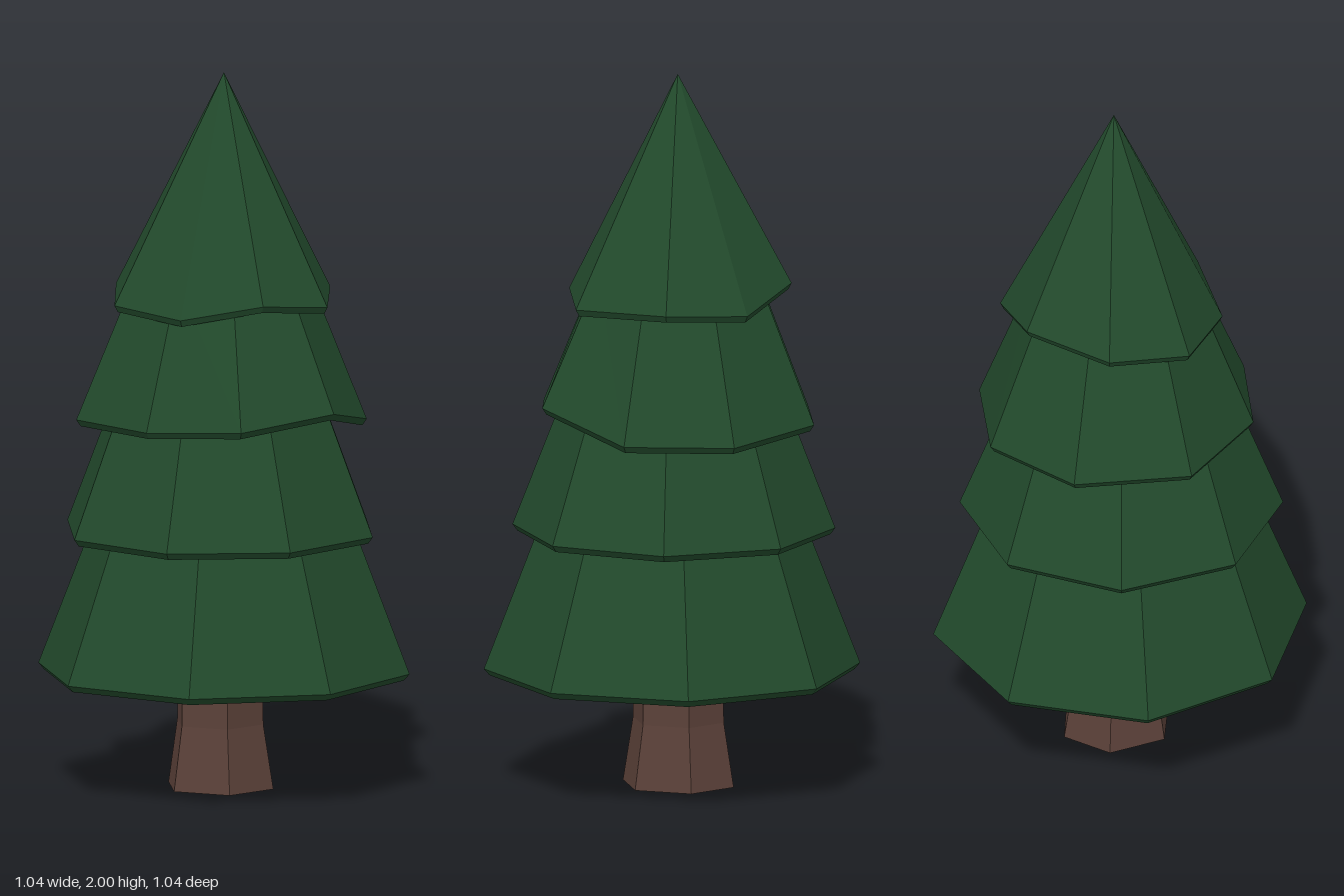
import * as THREE from 'three';

// Skin a stack of rings, listed from the top down
function loft(rings) {
  const pos = [];
  for (let r = 0; r < rings.length - 1; r++) {
    const a = rings[r], b = rings[r + 1], n = a.length;
    for (let i = 0; i < n; i++) {
      const j = (i + 1) % n;
      for (const p of [a[i], a[j], b[i], a[j], b[j], b[i]]) pos.push(...p);
    }
  }
  const g = new THREE.BufferGeometry();
  g.setAttribute('position', new THREE.Float32BufferAttribute(pos, 3));
  g.computeVertexNormals();
  return g;
}

// Scale a ring about (cx, cz); y is a fixed height or a function of the old one
const scaled = (ring, s, y, cx = 0, cz = 0) => ring.map(([x, h, z]) =>
  [cx + (x - cx) * s, typeof y === 'function' ? y(h) : y, cz + (z - cz) * s]);

// Regular eight-sided rim
const octagon = (radius, y, turn, cx = 0, cz = 0) => Array.from({ length: 8 }, (_, i) => {
  const a = turn + i * Math.PI / 4;
  return [cx + radius * Math.cos(a), y, cz + radius * Math.sin(a)];
});

// Hollow branch tier: sloping skirt, thin bevelled lip, recessed underside
function tierGeometry({ rim, topY, topScale, cx = 0, cz = 0, depth }) {
  const top = scaled(rim, topScale, topY, cx, cz);
  const ceilingY = rim[0][1] + depth;
  return loft([
    scaled(rim, 0, topY, cx, cz),
    top,
    rim,
    scaled(rim, 0.97, h => h - 0.018, cx, cz),
    scaled(rim, 0.62, ceilingY, cx, cz),
    scaled(rim, 0, ceilingY, cx, cz),
  ]);
}

export function createModel() {
  const tree = new THREE.Group();
  tree.name = 'pineTree';

  const needles = new THREE.MeshStandardMaterial({ color: 0x224a2c, flatShading: true });
  needles.name = 'needleGreen';
  const bark = new THREE.MeshStandardMaterial({ color: 0x5b4139, flatShading: true });
  bark.name = 'barkBrown';

  const add = (name, geometry, material) => {
    const mesh = new THREE.Mesh(geometry, material);
    mesh.name = name;
    tree.add(mesh);
  };

  // Six-sided trunk, flared at the foot
  const foot = [
    [0.155, 0, -0.04], [0.09, 0, 0.11], [-0.07, 0, 0.13],
    [-0.16, 0, -0.01], [-0.08, 0, -0.155], [0.07, 0, -0.165],
  ];
  const c = [-0.008, -0.02];
  add('trunk', loft([
    scaled(foot, 0, 0.57, ...c),
    scaled(foot, 0.79, 0.57, ...c),
    scaled(foot, 0.82, 0.18, ...c),
    foot,
    scaled(foot, 0, 0, ...c),
  ]), bark);

  // Branch tiers, lowest first; the upper two have uneven rims
  const tiers = [
    { name: 'bottomTier', rim: octagon(0.522, 0.332, 0), topY: 0.8, topScale: 0.655, depth: 0.225 },
    {
      name: 'lowerMiddleTier', rim: octagon(0.447, 0.724, 0.15, -0.009, -0.006),
      topY: 1.15, topScale: 0.63, cx: -0.009, cz: -0.006, depth: 0.2,
    },
    {
      name: 'upperMiddleTier',
      rim: [
        [0.38, 1.015, -0.14], [0.365, 1.02, 0.165], [0.115, 1.085, 0.37], [-0.175, 1.055, 0.34],
        [-0.355, 1.045, 0.14], [-0.375, 1.04, -0.175], [-0.13, 1.03, -0.39], [0.165, 1.035, -0.38],
      ],
      topY: 1.45, topScale: 0.58, cz: -0.015, depth: 0.2,
    },
    {
      name: 'topTier',
      rim: [
        [0.325, 1.378, 0.045], [0.155, 1.368, 0.28], [-0.06, 1.39, 0.28], [-0.245, 1.35, 0.145],
        [-0.305, 1.365, -0.09], [-0.17, 1.39, -0.28], [0.08, 1.42, -0.325], [0.275, 1.365, -0.185],
      ],
      topY: 2, topScale: 0, cx: 0.01, cz: -0.015, depth: 0.15,
    },
  ];
  for (const tier of tiers) add(tier.name, tierGeometry(tier), needles);

  return tree;
}
